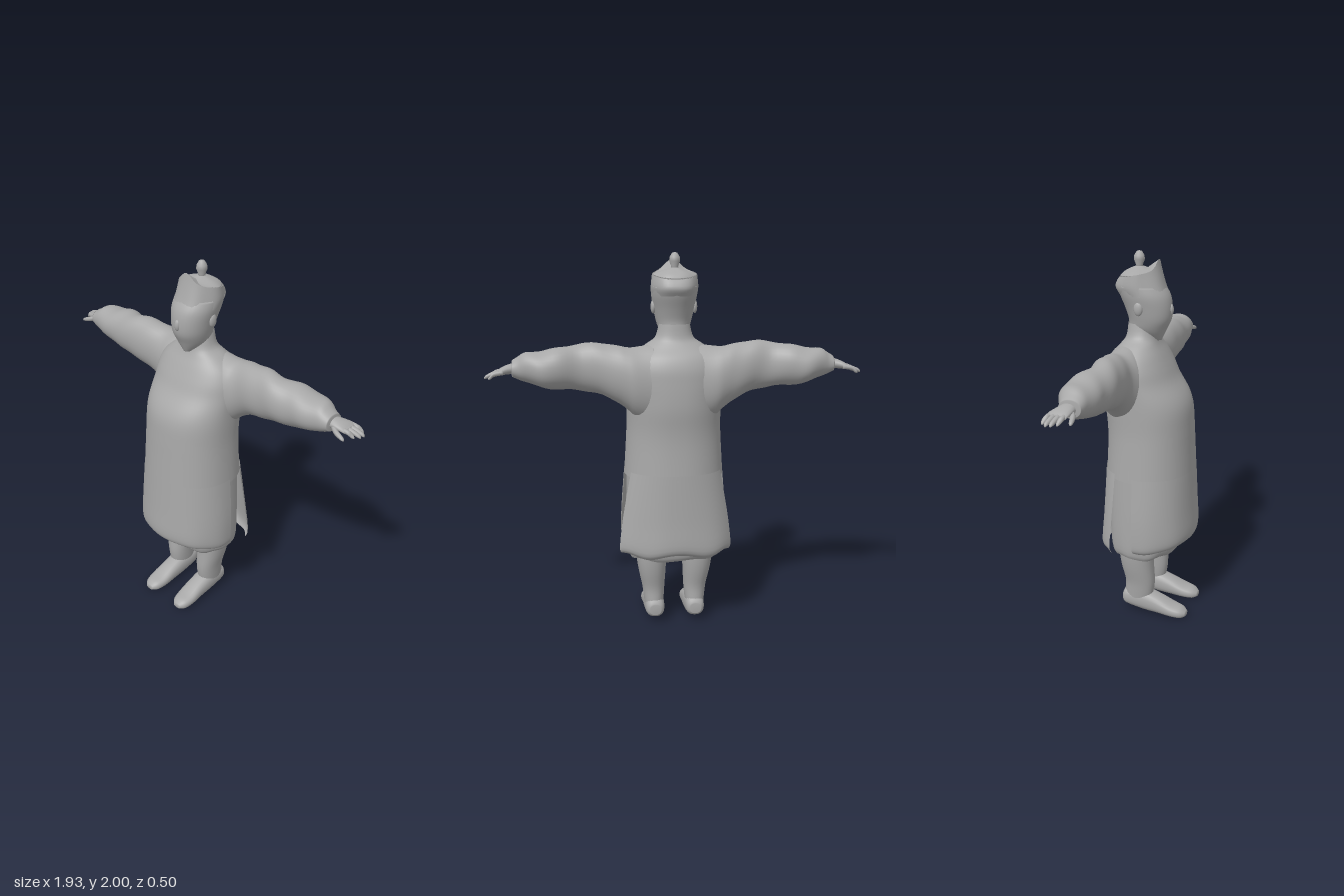
import * as THREE from 'three';

const cloth = new THREE.MeshStandardMaterial({ color: 0xa8a8a8, side: THREE.DoubleSide });
cloth.name = 'plain grey';

const TAU = Math.PI * 2;
const AXES = { x: [0, 2, 1], y: [1, 0, 2], z: [2, 1, 0] };
const spow = (v, p) => Math.sign(v) * Math.abs(v) ** p;

// Smoothly resample cross-section rows with a Catmull-Rom spline
function resample(rows, steps) {
  const out = [];
  for (let i = 0; i < rows.length - 1; i++) {
    const [a, b, c, d] = [rows[Math.max(i - 1, 0)], rows[i], rows[i + 1], rows[Math.min(i + 2, rows.length - 1)]];
    for (let k = 0; k < steps; k++) {
      const t = k / steps;
      out.push(b.map((v, n) => v + 0.5 * t * (c[n] - a[n]
        + t * (2 * a[n] - 5 * v + 4 * c[n] - d[n] + t * (3 * (v - c[n]) + d[n] - a[n])))));
    }
  }
  out.push(rows[rows.length - 1]);
  return out;
}

// Loft of superelliptic rings; each row is [position, centre1, centre2, radius1, radius2]
function loft(axis, rows, { from = 0, to = TAU, power = 2, seg = 32, steps = 4, caps = true, warp } = {}) {
  const rings = resample(rows, steps), map = AXES[axis], closed = to - from > TAU - 0.001;
  const n = closed ? seg : seg + 1, pos = [], index = [];
  const add = (t, c1, c2) => {
    const p = [0, 0, 0];
    [t, c1, c2].forEach((v, k) => { p[map[k]] = v; });
    pos.push(...p);
  };
  rings.forEach(([t, c1, c2, r1, r2], i) => {
    for (let j = 0; j < n; j++) {
      const a = from + (to - from) * j / seg;
      const w = warp ? warp(a, i / (rings.length - 1), t) : { grow: 1, shift: 0 };
      add(t + w.shift, c1 + r1 * w.grow * spow(Math.cos(a), 2 / power), c2 + r2 * w.grow * spow(Math.sin(a), 2 / power));
    }
  });
  for (let i = 0; i < rings.length - 1; i++) {
    for (let j = 0; j < seg; j++) {
      const p = i * n + j, q = i * n + (j + 1) % n;
      index.push(p, p + n, q, q, p + n, q + n);
    }
  }
  if (closed && caps) {
    const last = rings.length - 1, c = pos.length / 3;
    add(...rings[0].slice(0, 3));
    add(...rings[last].slice(0, 3));
    for (let j = 0; j < n; j++) {
      const k = (j + 1) % n;
      index.push(c, j, k, c + 1, last * n + k, last * n + j);
    }
  }
  const geo = new THREE.BufferGeometry();
  geo.setAttribute('position', new THREE.Float32BufferAttribute(pos, 3));
  geo.setIndex(index);
  geo.computeVertexNormals();
  return geo;
}

// Mirrored copy across x = 0, with corner order restored
function mirrored(geo) {
  const g = geo.clone().scale(-1, 1, 1), ix = g.index;
  for (let i = 0; i < ix.count; i += 3) {
    const b = ix.getX(i + 1);
    ix.setX(i + 1, ix.getX(i + 2));
    ix.setX(i + 2, b);
  }
  g.computeVertexNormals();
  return g;
}

// Vertical row from front and back depth
const row = (y, rx, front, back) => [y, 0, (front + back) / 2, rx, (front - back) / 2];

export function createModel() {
  const model = new THREE.Group();
  model.name = 'robedFigure';
  const part = (name, geo) => {
    const m = new THREE.Mesh(geo, cloth);
    m.name = name;
    model.add(m);
    return m;
  };
  const pair = (name, geo) => {
    part('left' + name, geo);
    part('right' + name, mirrored(geo));
  };

  // Upper robe, from the top of the side slits to the collar
  part('upperRobe', loft('y', [
    row(0.84, 0.265, 0.235, -0.233), row(1.0, 0.255, 0.227, -0.225), row(1.1, 0.25, 0.222, -0.226),
    row(1.2, 0.25, 0.213, -0.235), row(1.27, 0.25, 0.188, -0.236), row(1.35, 0.25, 0.135, -0.232),
    row(1.42, 0.245, 0.102, -0.224), row(1.48, 0.215, 0.072, -0.2), row(1.53, 0.155, 0.045, -0.155),
    row(1.57, 0.1, 0.032, -0.13), row(1.64, 0.08, 0.02, -0.12),
  ], { power: 2.2, seg: 48, caps: false }));

  // Front panel, curling inward at the hem
  part('frontPanel', loft('y', [
    row(0.455, 0.262, 0.21, -0.2), row(0.47, 0.28, 0.24, -0.235), row(0.52, 0.285, 0.252, -0.24),
    row(0.65, 0.282, 0.245, -0.24), row(0.86, 0.265, 0.235, -0.233),
  ], {
    from: -0.06, to: Math.PI + 0.06, power: 2.2, seg: 40,
    warp: (a, v) => ({ grow: 1 + 0.008 * (1 - v) * Math.sin(a * 9), shift: -0.025 * (1 - v) * Math.cos(a) ** 4 }),
  }));

  // Back panel, flaring out beside the slits
  part('backPanel', loft('y', [
    row(0.42, 0.325, 0.2, -0.225), row(0.46, 0.335, 0.22, -0.247), row(0.6, 0.318, 0.225, -0.24),
    row(0.75, 0.29, 0.23, -0.235), row(0.87, 0.265, 0.233, -0.232),
  ], {
    from: Math.PI + 0.5, to: TAU - 0.5, power: 2.3, seg: 32,
    warp: (a, v) => ({ grow: 1 + 0.012 * (1 - v) * Math.sin(a * 8), shift: 0.012 * (1 - v) * Math.sin(a * 7) }),
  }));

  // Inner skirt seen below the hem and within the slits
  part('innerSkirt', loft('y', [
    row(0.385, 0.245, 0.15, -0.185), row(0.43, 0.258, 0.18, -0.205), row(0.6, 0.258, 0.2, -0.215),
    row(0.9, 0.25, 0.21, -0.21),
  ], {
    power: 2.3, caps: false, seg: 48,
    warp: (a, v) => ({ grow: 1 + 0.015 * (1 - v) * Math.sin(a * 10), shift: 0.006 * (1 - v) * Math.sin(a * 6) }),
  }));

  // Sleeves: rows run outward along x with soft creases
  const span = (x, low, high, back, front) => [x, (back + front) / 2, (low + high) / 2, (front - back) / 2, (high - low) / 2];
  pair('Sleeve', loft('x', [
    span(0.1, 1.13, 1.535, -0.21, 0.03), span(0.2, 1.16, 1.53, -0.215, 0.025), span(0.25, 1.205, 1.527, -0.21, 0.01),
    span(0.3, 1.245, 1.535, -0.2, 0), span(0.4, 1.288, 1.552, -0.175, 0.005), span(0.5, 1.308, 1.542, -0.165, 0.01),
    span(0.6, 1.318, 1.53, -0.2, 0), span(0.68, 1.33, 1.515, -0.205, -0.005), span(0.76, 1.358, 1.508, -0.175, -0.018),
    span(0.8, 1.372, 1.485, -0.155, -0.025), span(0.83, 1.385, 1.468, -0.145, -0.035),
  ], {
    power: 2.1,
    warp: (a, v, x) => ({ grow: 1 + 0.025 * Math.sin(Math.min(x * 3, 1.5)) * Math.sin(x * 38 + a * 2), shift: 0 }),
  }));

  // Hands: palm, four fingers and a thumb
  pair('Palm', loft('x', [
    [0.79, -0.092, 1.428, 0.036, 0.03], [0.84, -0.1, 1.426, 0.042, 0.026],
    [0.88, -0.115, 1.418, 0.051, 0.019], [0.905, -0.12, 1.409, 0.048, 0.012],
  ], { seg: 16 }));
  const fingers = [[-0.155, 0.945], [-0.13, 0.967], [-0.107, 0.963], [-0.084, 0.943]];
  fingers.forEach(([z, tip], i) => pair('Finger' + (i + 1), loft('x', [
    [0.87, z, 1.416, 0.011, 0.012], [0.915, z - 0.005, 1.409, 0.012, 0.012],
    [tip - 0.012, z - 0.012, 1.395, 0.01, 0.01], [tip, z - 0.013, 1.388, 0.004, 0.004],
  ], { seg: 10 })));
  pair('Thumb', loft('x', [
    [0.835, -0.075, 1.418, 0.014, 0.016], [0.87, -0.056, 1.406, 0.014, 0.014],
    [0.91, -0.046, 1.395, 0.01, 0.01], [0.922, -0.045, 1.39, 0.004, 0.004],
  ], { seg: 10 }));

  // Legs and boots
  pair('Leg', loft('y', [
    [0.07, 0.113, -0.04, 0.048, 0.075], [0.13, 0.113, -0.032, 0.055, 0.08], [0.2, 0.115, -0.028, 0.062, 0.083],
    [0.3, 0.122, -0.04, 0.075, 0.091], [0.4, 0.125, -0.045, 0.083, 0.096], [0.6, 0.125, -0.045, 0.085, 0.1],
  ], { power: 2.2, seg: 24 }));
  pair('Boot', loft('z', [
    [-0.125, 0.08, 0.11, 0.028, 0.03], [-0.1, 0.085, 0.11, 0.052, 0.05], [0, 0.076, 0.11, 0.062, 0.056],
    [0.08, 0.06, 0.11, 0.052, 0.056], [0.16, 0.04, 0.112, 0.036, 0.057], [0.215, 0.031, 0.113, 0.028, 0.046],
    [0.243, 0.026, 0.113, 0.012, 0.022],
  ], { power: 2.4, seg: 24 }));

  // Head with a tapering chin
  part('head', loft('y', [
    row(1.55, 0.02, 0.052, 0), row(1.575, 0.052, 0.064, -0.08), row(1.61, 0.078, 0.08, -0.115),
    row(1.66, 0.094, 0.103, -0.12), row(1.72, 0.106, 0.107, -0.14), row(1.78, 0.117, 0.095, -0.165),
    row(1.83, 0.118, 0.065, -0.18),
  ], { power: 2.1 }));
  const nose = part('nose', new THREE.SphereGeometry(1, 14, 10));
  nose.scale.set(0.016, 0.03, 0.014);
  nose.position.set(0, 1.71, 0.103);
  const ear = new THREE.SphereGeometry(1, 14, 10).scale(0.014, 0.036, 0.024).translate(0.107, 1.725, -0.035);
  pair('Ear', ear);

  // Faceted hat: wall with a pointed front and sloping rim, then a low roof
  const rim = (a) => 0.05 * Math.max(0, Math.sin(a)) ** 10 + 0.022 * Math.sin(a);
  const hatWarp = (k) => (a, v) => ({ grow: 1 + 0.022 * Math.cos(6 * a), shift: rim(a) * k(v) });
  part('hatWall', loft('y', [
    row(1.785, 0.116, 0.088, -0.168), row(1.83, 0.119, 0.066, -0.188), row(1.89, 0.113, 0.04, -0.165),
  ], { caps: false, seg: 48, warp: hatWarp((v) => v * v) }));
  part('hatRoof', loft('y', [
    row(1.888, 0.112, 0.039, -0.164), row(1.903, 0.075, 0.0, -0.135), row(1.925, 0.012, -0.055, -0.079),
  ], { seg: 48, warp: hatWarp((v) => (1 - v) ** 3) }));
  const knob = [[0, 1.9], [0.02, 1.9], [0.018, 1.93], [0.028, 1.955], [0.026, 1.975], [0.014, 1.995], [0, 2]];
  part('hatKnob', new THREE.LatheGeometry(knob.map(([x, y]) => new THREE.Vector2(x, y)), 20)).position.z = -0.067;

  return model;
}
